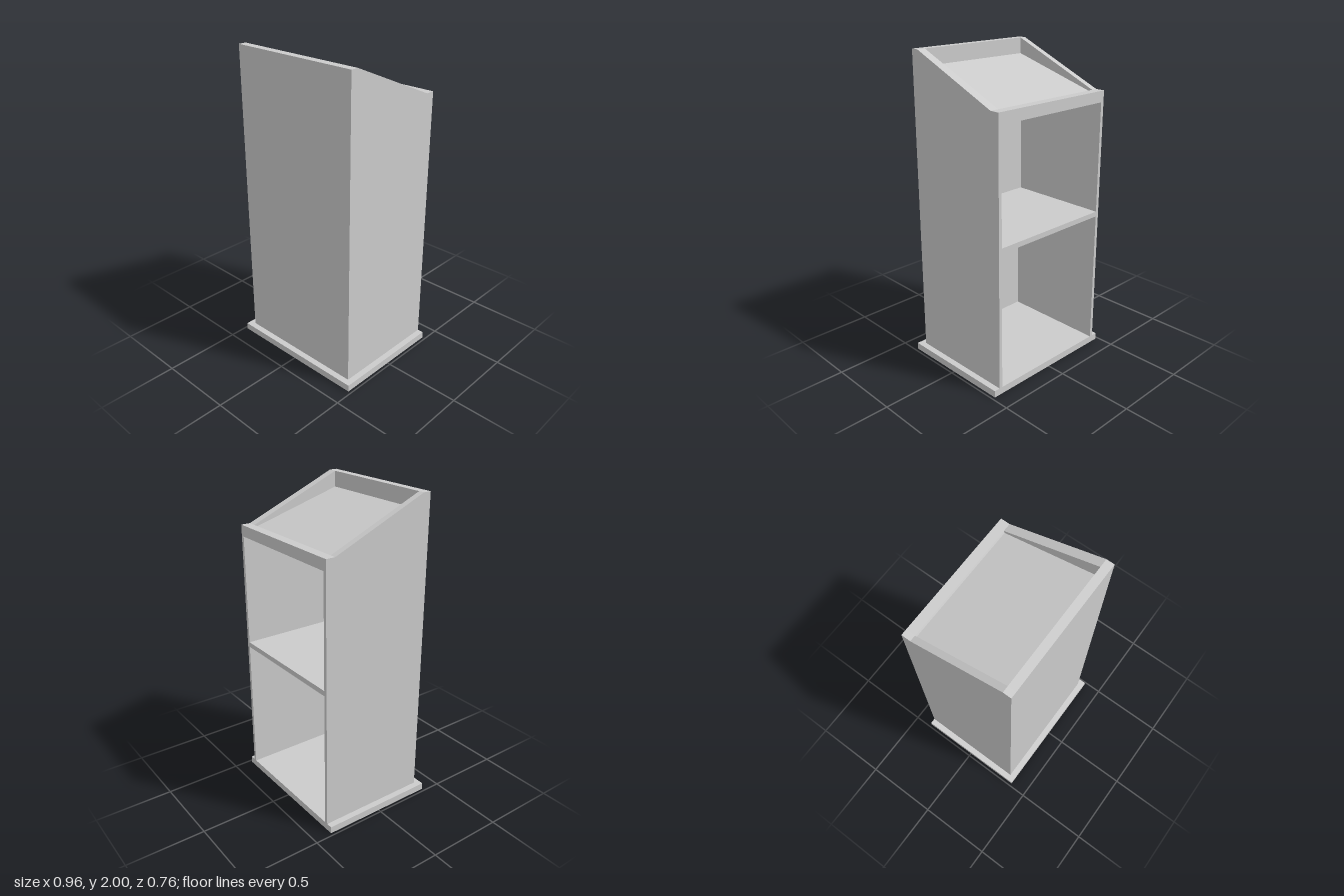
import * as THREE from 'three';

const material = new THREE.MeshStandardMaterial({ color: 0xcccccc, flatShading: true });

// Extrudes a (z, y) outline across the width from x0 to x1.
function slab(name, outline, x0, x1) {
  const shape = new THREE.Shape(outline.map(([z, y]) => new THREE.Vector2(z, y)));
  const geometry = new THREE.ExtrudeGeometry(shape, { depth: x1 - x0, bevelEnabled: false });
  geometry.rotateY(-Math.PI / 2).translate(x1, 0, 0);
  const mesh = new THREE.Mesh(geometry, material);
  mesh.name = name;
  return mesh;
}

export function createModel() {
  const group = new THREE.Group();
  group.name = 'lectern';

  const back = -0.38, front = 0.34, baseTop = 0.045;
  const halfWidth = 0.44, inner = 0.418;

  // Plinth
  const plinth = new THREE.Mesh(new THREE.BoxGeometry(0.96, baseTop, 0.76), material);
  plinth.name = 'plinth';
  plinth.position.y = baseTop / 2;
  group.add(plinth);

  // Sloping top edge, and the same edge with the reading tray sunk into it
  const rimTop = [[front, 2], [0.29, 2], [-0.32, 1.74], [back, 1.74]];
  const trayTop = [[front, 2], [0.29, 2], [0.29, 1.9], [-0.314, 1.725], [-0.32, 1.74], [back, 1.74]];

  // Outer side panels
  const side = [[back, baseTop], [front, baseTop], ...rimTop];
  group.add(slab('leftSidePanel', side, inner, halfWidth));
  group.add(slab('rightSidePanel', side, -halfWidth, -inner));

  // Section through front panel, shelf and sloping ceiling, open at the back
  const section = (top) => [
    [front, baseTop], ...top,
    [back, 1.67], [0.297, 1.83],
    [0.297, 0.963], [back, 0.963],
    [back, 0.93], [0.32, 0.93], [0.32, baseTop],
  ];
  group.add(slab('trayAndShelves', section(trayTop), -0.4, 0.385));
  group.add(slab('leftTrayRim', section(rimTop), 0.385, inner));
  group.add(slab('rightTrayRim', section(rimTop), -inner, -0.4));

  return group;
}
